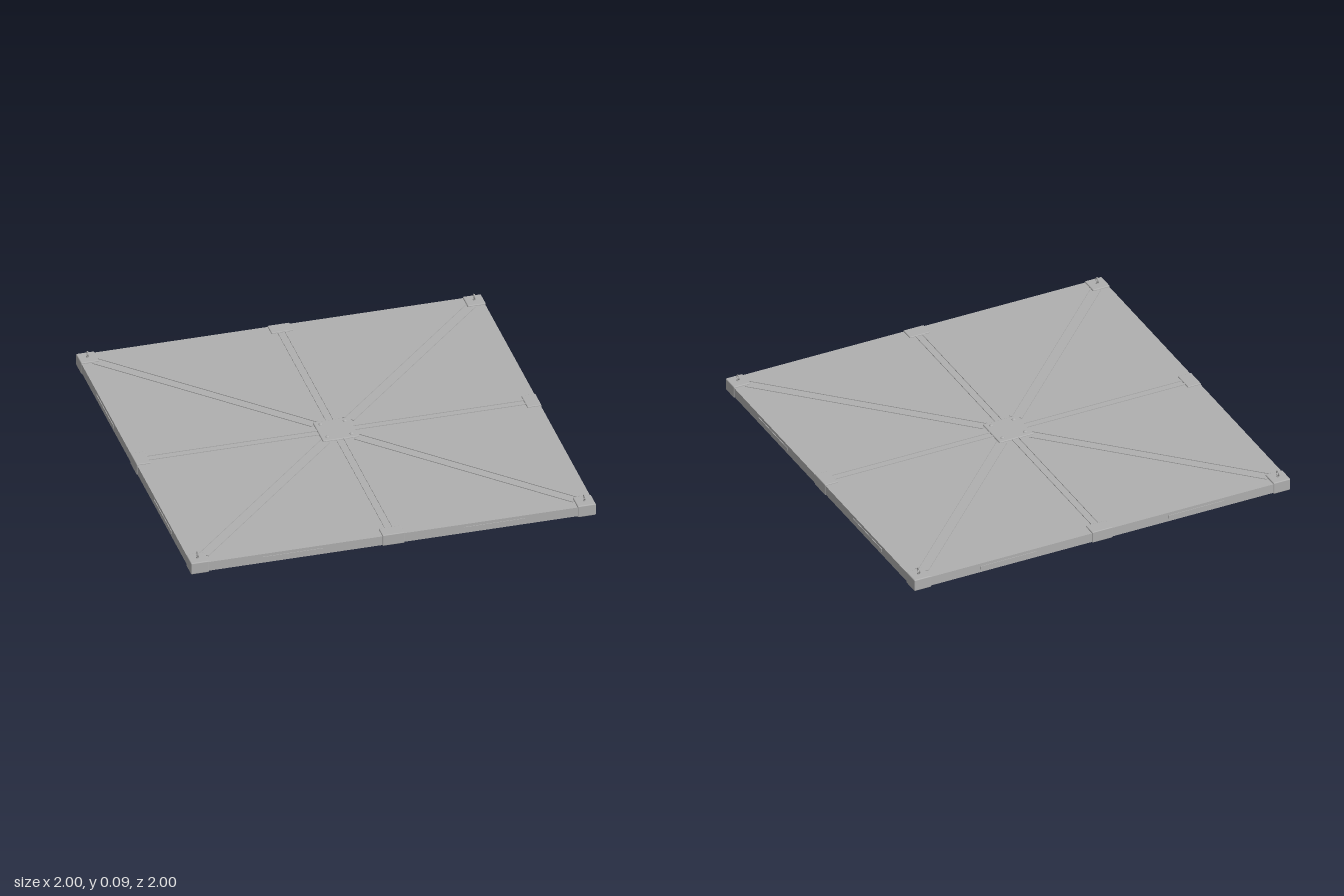
import * as THREE from 'three';
import { RoundedBoxGeometry } from 'three/addons/geometries/RoundedBoxGeometry.js';

export function createModel() {
  const root = new THREE.Group();
  root.name = 'floorPanel';
  const metal = new THREE.MeshStandardMaterial({ color: 0xb0b0b0 });
  metal.name = 'grey metal';

  const add = (name, geometry, x, y, z) => {
    const mesh = new THREE.Mesh(geometry, metal);
    mesh.name = name;
    mesh.position.set(x, y, z);
    root.add(mesh);
    return mesh;
  };
  // Block given by its footprint and the heights of its bottom and top
  const block = (name, w, d, y0, y1, x, z, r = 0.005) =>
    add(name, new RoundedBoxGeometry(w, y1 - y0, d, 2, r), x, (y0 + y1) / 2, z);

  // Main slab
  add('slab', new THREE.BoxGeometry(1.994, 0.048, 1.994), 0, 0.031, 0);

  // Corner caps with lifting rings
  for (const sx of [-1, 1]) {
    for (const sz of [-1, 1]) {
      block('cornerCap', 0.09, 0.09, 0, 0.062, sx * 0.955, sz * 0.955);
      add('ringStem', new THREE.CylinderGeometry(0.006, 0.008, 0.01, 12), sx * 0.955, 0.065, sz * 0.955);
      const ring = add('liftingRing', new THREE.TorusGeometry(0.011, 0.0035, 8, 20), sx * 0.955, 0.08, sz * 0.955);
      ring.rotation.y = Math.PI / 2;
    }
  }

  // Raised hub plate with four bolts
  block('hubPlate', 0.18, 0.18, 0.045, 0.061, 0, 0);
  for (const sx of [-1, 1]) {
    for (const sz of [-1, 1]) {
      const bolt = add('hubBolt', new THREE.SphereGeometry(0.01, 12, 6, 0, Math.PI * 2, 0, Math.PI / 2), sx * 0.06, 0.0605, sz * 0.06);
      bolt.scale.y = 0.7;
    }
  }

  // Each quarter turn: edge clip, straight rails, diagonal rails, side strips
  for (let i = 0; i < 4; i++) {
    const a = (i * Math.PI) / 2;
    const dx = Math.round(Math.sin(a));
    const dz = Math.round(Math.cos(a));
    const alongX = dx !== 0;
    block('edgeClip', alongX ? 0.07 : 0.108, alongX ? 0.108 : 0.07, 0.002, 0.061, dx * 0.965, dz * 0.965, 0.004);

    for (const side of [-1, 1]) {
      const rail = add('straightRail', new THREE.BoxGeometry(0.012, 0.006, 0.86),
        dx * 0.51 + dz * side * 0.018, 0.0555, dz * 0.51 - dx * side * 0.018);
      rail.rotation.y = a;

      const b = a + Math.PI / 4;
      const mid = 0.71;
      const brace = add('diagonalRail', new THREE.BoxGeometry(0.015, 0.006, 1.19),
        Math.sin(b) * mid + Math.cos(b) * side * 0.025, 0.0555,
        Math.cos(b) * mid - Math.sin(b) * side * 0.025);
      brace.rotation.y = b;

      const strip = add('sideStrip', new THREE.BoxGeometry(0.3, 0.016, 0.006),
        dx * 0.997 + dz * side * 0.5, 0.032, dz * 0.997 - dx * side * 0.5);
      strip.rotation.y = a;
    }
  }
  return root;
}
